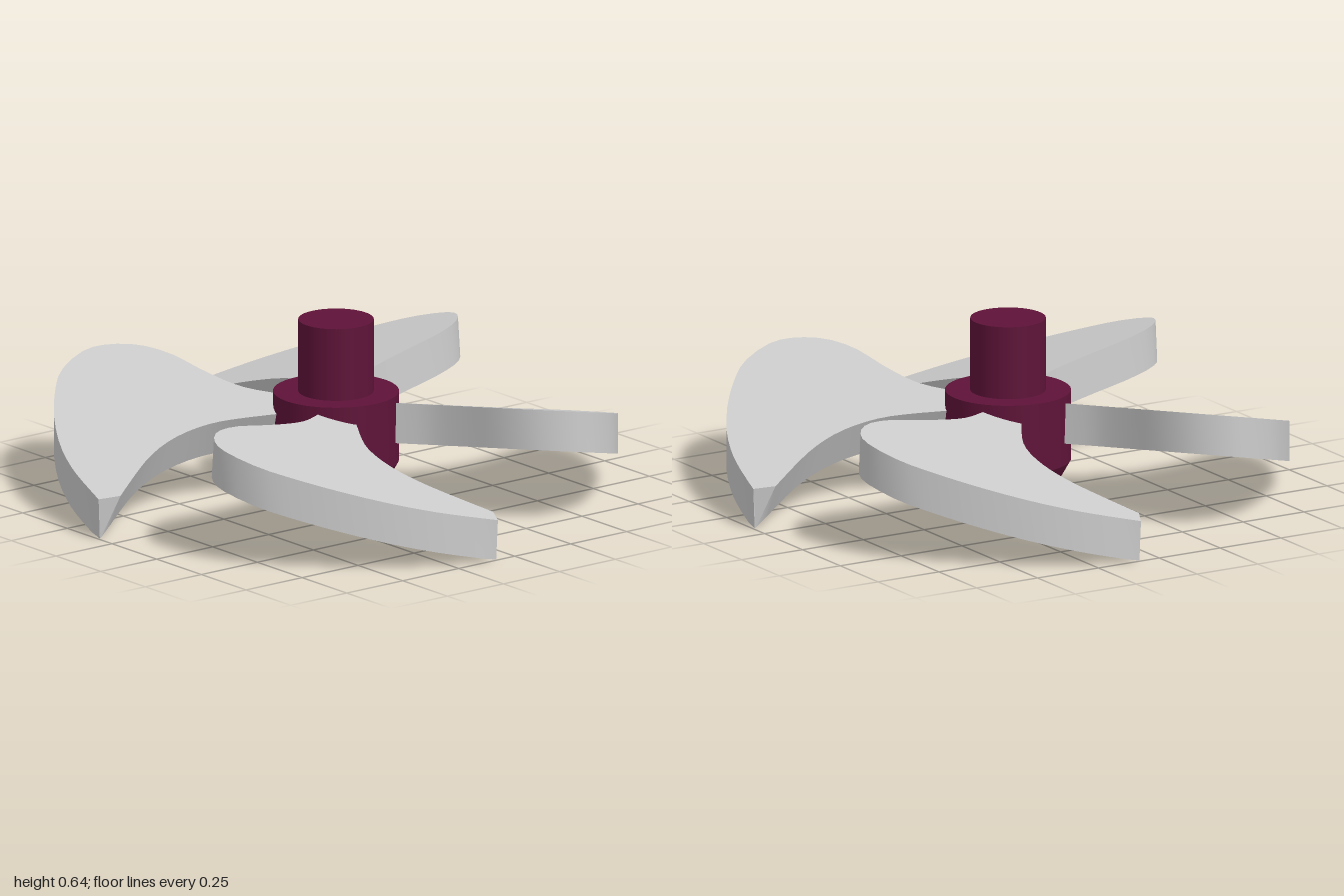
import * as THREE from 'three';
import { toCreasedNormals } from 'three/addons/utils/BufferGeometryUtils.js';

const THICK = 0.146;
const vec = ([x, z]) => new THREE.Vector2(x, z);

// Plan outline of one blade as (x, z): concave edge from hub to tip, convex edge back to hub
const INNER = [[0.17, 0.05], [0.3, 0.13], [0.4, 0.18], [0.5, 0.2], [0.6, 0.195], [0.7, 0.165], [0.8, 0.115], [0.93, 0.04]];
const OUTER = [[1, 0.075], [0.965, 0.22], [0.93, 0.33], [0.87, 0.46], [0.78, 0.6], [0.68, 0.72], [0.58, 0.81], [0.45, 0.855],
  [0.36, 0.83], [0.28, 0.75], [0.235, 0.63], [0.22, 0.48], [0.2, 0.35], [0.17, 0.26], [0.1, 0.14]];

// Pitched plane that carries the top of the blade
const pitch = (p) => 0.345 - 0.213 * p.x + 0.19 * p.y;

// Samples an edge; inset(t) moves its lower rim towards the blade's interior
function edge(points, n, inset) {
  const curve = new THREE.SplineCurve(points.map(vec));
  const top = [], bottom = [];
  for (let i = 0; i <= n; i++) {
    const t = i / n, p = curve.getPoint(t), d = curve.getTangent(t);
    top.push(p);
    bottom.push(new THREE.Vector2(-d.y, d.x).multiplyScalar(inset(t)).add(p));
  }
  return { top, bottom };
}

function bladeGeometry() {
  const inner = edge(INNER, 16, () => 0.06);
  const outer = edge(OUTER, 32, (t) => -0.01 * THREE.MathUtils.smoothstep(t, 0.45, 0.65));
  inner.bottom[16].set(0.985, 0.08); // undercut closes to a point at the tip
  outer.bottom[0].set(0.993, 0.077);

  const top = [...inner.top, ...outer.top];
  const bottom = [...inner.bottom, ...outer.bottom];
  const n = top.length;
  const positions = [];
  for (const p of top) positions.push(p.x, pitch(p), p.y);
  for (const p of bottom) positions.push(p.x, Math.max(0, pitch(p) - THICK), p.y);

  const index = [];
  for (const [a, b, c] of THREE.ShapeUtils.triangulateShape(top, [])) index.push(a, c, b);
  for (const [a, b, c] of THREE.ShapeUtils.triangulateShape(bottom, [])) index.push(a + n, b + n, c + n);
  for (let i = 0; i < n; i++) {
    const j = (i + 1) % n;
    index.push(i, j, i + n, j, j + n, i + n);
  }
  const geometry = new THREE.BufferGeometry();
  geometry.setAttribute('position', new THREE.Float32BufferAttribute(positions, 3));
  geometry.setIndex(index);
  return toCreasedNormals(geometry, 0.5);
}

export function createModel() {
  const group = new THREE.Group();
  const grey = new THREE.MeshStandardMaterial({ color: 0xcccccc });
  const plum = new THREE.MeshStandardMaterial({ color: 0x5e1338 });

  // Hub with a chamfered foot and a blind bore underneath
  const profile = [[0, 0.25], [0.122, 0.25], [0.122, 0.05], [0.175, 0.05], [0.22, 0.13], [0.22, 0.38], [0, 0.38]];
  const hub = new THREE.Mesh(toCreasedNormals(new THREE.LatheGeometry(profile.map(vec), 48), 0.4), plum);
  hub.name = 'hub';
  group.add(hub);

  // Shaft
  const shaft = new THREE.Mesh(new THREE.CylinderGeometry(0.132, 0.132, 0.27, 48), plum);
  shaft.name = 'shaft';
  shaft.position.y = 0.505;
  group.add(shaft);

  // Four identical blades
  const geometry = bladeGeometry();
  for (let i = 0; i < 4; i++) {
    const blade = new THREE.Mesh(geometry, grey);
    blade.name = `blade${i + 1}`;
    blade.rotation.y = (i * Math.PI) / 2;
    group.add(blade);
  }
  return group;
}
